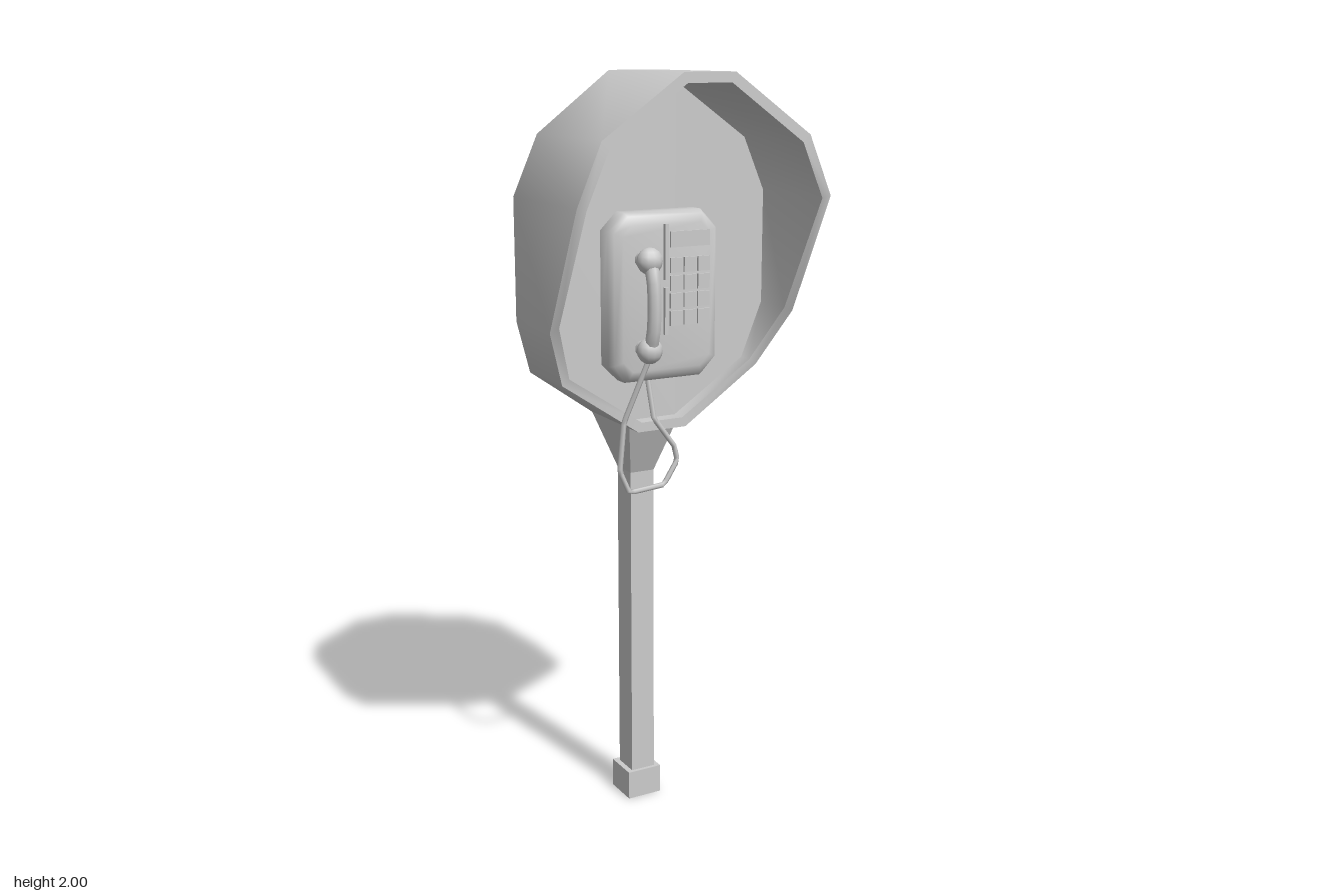
import * as THREE from 'three';
import { toCreasedNormals } from 'three/addons/utils/BufferGeometryUtils.js';

const grey = new THREE.MeshStandardMaterial({ color: 0xcccccc });

function add(parent, name, geometry, x = 0, y = 0, z = 0) {
  const mesh = new THREE.Mesh(geometry, grey);
  mesh.name = name;
  mesh.position.set(x, y, z);
  parent.add(mesh);
  return mesh;
}

// Skin between rows of points; collapsed triangles are dropped
function skin(rows, closed, cap = false, crease = 0.95) {
  const out = [];
  const same = (p, q) => p.every((v, i) => Math.abs(v - q[i]) < 1e-6);
  const tri = (a, b, c) => {
    if (!same(a, b) && !same(b, c) && !same(a, c)) out.push(...a, ...b, ...c);
  };
  for (let r = 0; r < rows.length - 1; r++) {
    const p = rows[r], q = rows[r + 1], n = p.length;
    for (let i = 0; i < (closed ? n : n - 1); i++) {
      const j = (i + 1) % n;
      tri(p[i], p[j], q[j]);
      tri(p[i], q[j], q[i]);
    }
  }
  if (cap) {
    const e = rows[rows.length - 1];
    for (let i = 1; i < e.length - 1; i++) tri(e[0], e[i], e[i + 1]);
  }
  const g = new THREE.BufferGeometry();
  g.setAttribute('position', new THREE.Float32BufferAttribute(out, 3));
  return toCreasedNormals(g, crease);
}

const flip = ([x, y, z]) => [-x, y, z];
const mirrorRing = (half) => [...half, ...half.map(flip).reverse()];

function makeHood() {
  // Right half outlines, bottom to top
  const outer = [[0.07, 1.095], [0.285, 1.24], [0.35, 1.39], [0.35, 1.7], [0.285, 1.85], [0.07, 2]];
  const inner = [[0.06, 1.12], [0.265, 1.255], [0.325, 1.4], [0.325, 1.695], [0.265, 1.832], [0.06, 1.975]];
  const rearZ = [-0.25, -0.173, -0.105, -0.105, -0.1, -0.13];
  const frontZ = [0.02, 0.02, 0.093, 0.25, 0.25, 0.25];
  const ring = (pts, z) => mirrorRing(pts.map(([x, y], i) => [x, y, z[i]]));
  const plateZ = Array(6).fill(-0.02);

  // Outer wall and the faceted rounded back share one smooth surface
  const rows = outer.map(([x, y], i) => {
    const edge = [x, y, rearZ[i]];
    const mid = i > 0 && i < 4 ? [0.285, y, -0.173] : edge;
    const core = i === 5 ? edge : [0.07, y, i === 4 ? -0.19 : -0.25];
    return mirrorRing([edge, mid, core]).map(flip);
  }).reverse();
  const shell = new THREE.Group();
  shell.name = 'hood';
  const wall = skin([ring(outer, rearZ), ring(outer, frontZ)], true);
  const back = skin(rows, false);
  const joined = new THREE.BufferGeometry();
  joined.setAttribute('position', new THREE.Float32BufferAttribute(
    [...wall.attributes.position.array, ...back.attributes.position.array], 3));
  add(shell, 'hoodShell', toCreasedNormals(joined, 0.95));

  // Front rim, inner wall and mounting plate
  add(shell, 'hoodLining', skin(
    [ring(outer, frontZ), ring(inner, frontZ), ring(inner, plateZ)], true, true));
  return shell;
}

function makePost() {
  const post = new THREE.Group();
  post.name = 'post';
  const square = (y, hx, z0, z1) => [[hx, y, z1], [hx, y, z0], [-hx, y, z0], [-hx, y, z1]];
  add(post, 'postShaft', skin([
    square(0.07, 0.035, -0.165, -0.09),
    square(0.955, 0.035, -0.165, -0.09),
    square(1.096, 0.07, -0.248, -0.03),
  ], true, false, 0.1));
  add(post, 'postFoot', new THREE.BoxGeometry(0.1, 0.08, 0.1), 0, 0.04, -0.13);
  return post;
}

function makePhone() {
  const phone = new THREE.Group();
  phone.name = 'phone';

  // Body with clipped corners and a soft bevel
  const w = 0.155, h = 0.215, c = 0.045;
  const outline = new THREE.Shape([
    [w, -h + c], [w, h - c], [w - c, h], [-w + c, h],
    [-w, h - c], [-w, -h + c], [-w + c, -h], [w - c, -h],
  ].map(([x, y]) => new THREE.Vector2(x, y)));
  const body = new THREE.ExtrudeGeometry(outline, {
    depth: 0.06, bevelEnabled: true, bevelThickness: 0.025,
    bevelSize: 0.03, bevelOffset: -0.03, bevelSegments: 2,
  });
  add(phone, 'phoneBody', toCreasedNormals(body, 0.9), 0, 1.445, -0.04);

  // Keypad, label panel and divider ridges
  const face = 0.045;
  for (let r = 0; r < 4; r++) {
    for (let k = 0; k < 3; k++) {
      add(phone, 'key', new THREE.BoxGeometry(0.034, 0.038, 0.012), 0.025 + k * 0.04, 1.39 + r * 0.045, face);
    }
  }
  add(phone, 'labelPanel', new THREE.BoxGeometry(0.114, 0.04, 0.01), 0.065, 1.59, face);
  for (const [y, len] of [[1.56, 0.14], [1.41, 0.12]]) {
    add(phone, 'ridge', new THREE.BoxGeometry(0.01, len, 0.018), -0.005, y, face);
  }

  // Handset: two round ends joined by a bowed grip
  const handset = new THREE.Group();
  handset.name = 'handset';
  phone.add(handset);
  for (const y of [1.545, 1.32]) {
    const end = add(handset, 'handsetEnd', new THREE.SphereGeometry(0.034, 12, 8), -0.07, y, 0.082);
    end.scale.z = 0.85;
    const cradle = add(handset, 'cradle', new THREE.CylinderGeometry(0.022, 0.022, 0.04, 10), -0.07, y, 0.055);
    cradle.rotation.x = Math.PI / 2;
  }
  const grip = new THREE.CatmullRomCurve3([[1.545, 0.085], [1.49, 0.103], [1.375, 0.103], [1.32, 0.085]]
    .map(([y, z]) => new THREE.Vector3(-0.07, y, z)));
  add(handset, 'handsetGrip', new THREE.TubeGeometry(grip, 8, 0.018, 8));

  // Cord hanging in a loop below the hood
  const cord = new THREE.CurvePath();
  const pts = [[-0.07, 1.3, 0.08], [-0.12, 1.13, 0.035], [-0.13, 1, 0.03], [-0.103, 0.94, 0.03],
    [0, 0.948, 0.03], [0.04, 1.01, 0.03], [0.03, 1.05, 0.03], [-0.03, 1.13, 0.03], [-0.04, 1.25, 0.01]]
    .map((p) => new THREE.Vector3(...p));
  for (let i = 1; i < pts.length; i++) cord.add(new THREE.LineCurve3(pts[i - 1], pts[i]));
  add(phone, 'cord', new THREE.TubeGeometry(cord, 48, 0.007, 6));
  return phone;
}

export function createModel() {
  const model = new THREE.Group();
  model.name = 'payphone';
  model.add(makePost(), makeHood(), makePhone());
  return model;
}
